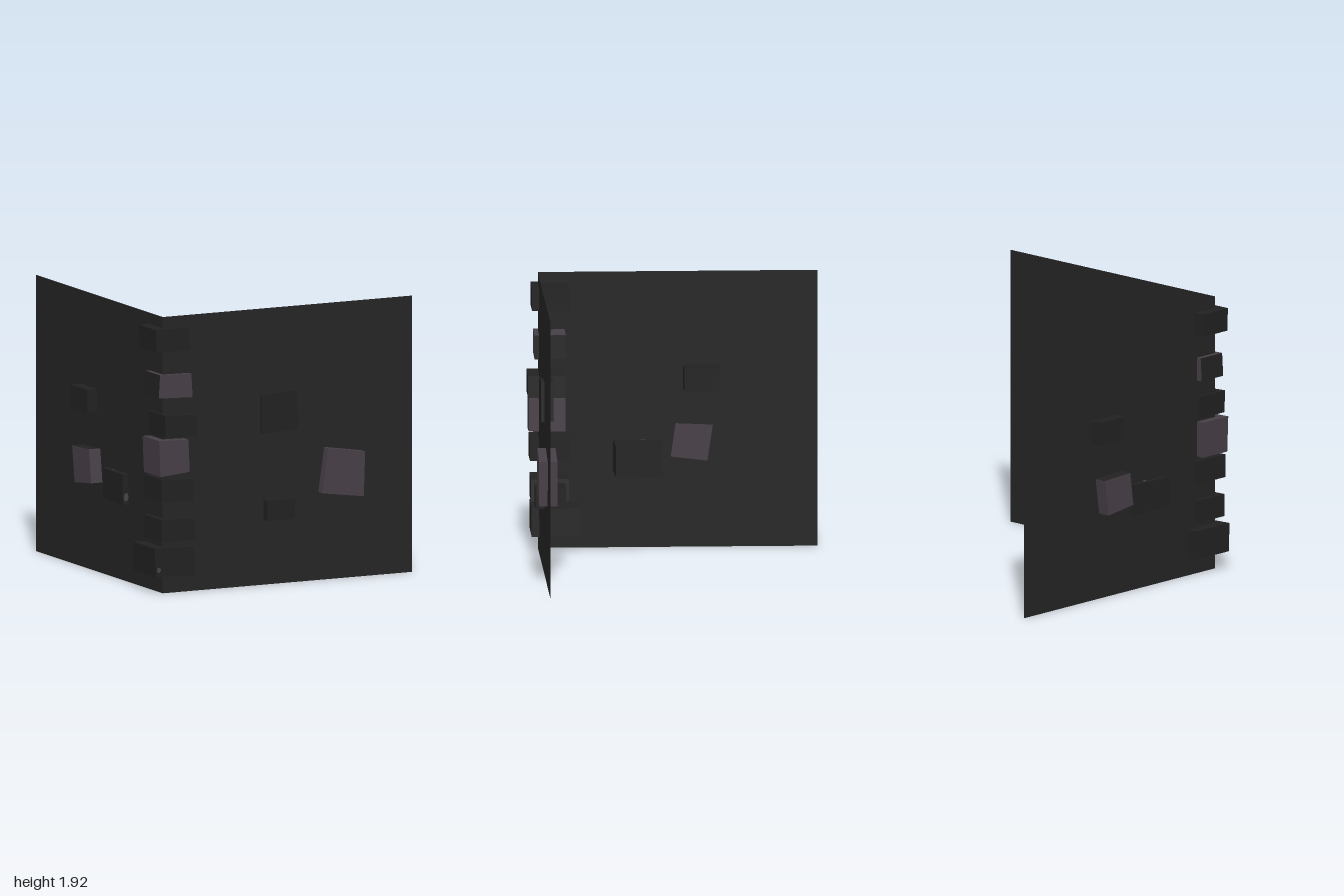
import * as THREE from 'three';

const mat = (name, color, side = THREE.FrontSide) => {
  const m = new THREE.MeshStandardMaterial({ color, side });
  m.name = name;
  return m;
};

// Six-sided block: quad gives four corners (top-left, top-right, bottom-right, bottom-left)
// seen along +axis; lo and hi are the extents along that axis.
function block(name, axis, quad, lo, hi, material) {
  const geo = new THREE.BoxGeometry(1, 1, 1);
  const p = geo.attributes.position;
  for (let i = 0; i < p.count; i++) {
    const x = p.getX(i), y = p.getY(i), z = p.getZ(i);
    const right = axis === 'x' ? z < 0 : x > 0;
    const top = axis === 'y' ? z < 0 : y > 0;
    const [u, v] = quad[top ? (right ? 1 : 0) : (right ? 2 : 3)];
    if (axis === 'z') p.setXYZ(i, u, v, z > 0 ? hi : lo);
    else if (axis === 'x') p.setXYZ(i, x > 0 ? hi : lo, v, u);
    else p.setXYZ(i, u, y > 0 ? hi : lo, v);
  }
  geo.computeVertexNormals();
  const mesh = new THREE.Mesh(geo, material);
  mesh.name = name;
  return mesh;
}

export function createModel() {
  const model = new THREE.Group();
  model.name = 'brickCorner';
  const plaster = mat('wallCharcoal', 0x242424, THREE.DoubleSide);
  const stone = mat('brickCharcoal', 0x212121);
  const mauve = mat('brickMauve', 0x463e46);
  const grey = mat('fleckGrey', 0x444444);

  // Two thin walls meeting at the corner
  const wallShape = new THREE.PlaneGeometry(1.915, 1.918);
  const frontWall = new THREE.Mesh(wallShape, plaster);
  frontWall.name = 'frontWall';
  frontWall.position.set(0.043, 0.959, 0.918);
  const sideWall = new THREE.Mesh(wallShape, plaster);
  sideWall.name = 'sideWall';
  sideWall.rotation.y = -Math.PI / 2;
  sideWall.position.set(-0.914, 0.959, -0.04);
  model.add(frontWall, sideWall);

  // Quoin bricks stacked up the corner
  const mixed = [stone, stone, mauve, mauve, mauve, mauve];
  const quoins = [
    [[[-0.99, 1.84], [-0.73, 1.84], [-0.73, 1.68], [-0.985, 1.68]], 0.71, 0.965, stone],
    [[[-0.95, 1.52], [-0.71, 1.515], [-0.70, 1.35], [-0.96, 1.36]], 0.735, 0.95, mixed],
    [[[-0.935, 1.245], [-0.69, 1.235], [-0.68, 1.085], [-0.93, 1.09]], 0.74, 0.995, stone],
    [[[-0.975, 1.07], [-0.75, 1.065], [-0.74, 0.84], [-0.965, 0.82]], 0.735, 0.985, mauve],
    [[[-0.955, 0.80], [-0.71, 0.79], [-0.71, 0.64], [-0.955, 0.64]], 0.71, 0.98, stone],
    [[[-0.95, 0.52], [-0.705, 0.515], [-0.69, 0.365], [-0.95, 0.365]], 0.715, 0.975, stone],
    [[[-1.0, 0.325], [-0.70, 0.315], [-0.69, 0.115], [-0.995, 0.125]], 0.64, 0.97, stone],
  ];
  quoins.forEach(([q, lo, hi, m], i) => model.add(block(`cornerBrick${i + 1}`, 'z', q, lo, hi, m)));

  // Bricks set into the front wall
  model.add(
    block('frontTallBrick', 'z', [[-0.165, 1.32], [0.10, 1.34], [0.115, 1.065], [-0.165, 1.05]], 0.855, 0.942, stone),
    block('frontSmallBrick', 'z', [[-0.14, 0.59], [0.07, 0.59], [0.07, 0.45], [-0.14, 0.45]], 0.765, 0.977, stone),
    block('frontMauveBrick', 'z', [[0.325, 0.92], [0.61, 0.875], [0.60, 0.565], [0.28, 0.61]], 0.852, 0.977, mauve));

  // Bricks set into the side wall
  model.add(
    block('sideUpperBrick', 'y', [[-0.995, -0.32], [-0.745, -0.32], [-0.735, -0.08], [-0.985, -0.075]], 1.105, 1.265, stone),
    block('sideLargeBrick', 'y', [[-0.945, 0.08], [-0.632, 0.075], [-0.653, 0.395], [-0.963, 0.405]], 0.535, 0.748, stone),
    block('sideMauveBrick', 'x', [[-0.025, 0.862], [-0.28, 0.85], [-0.243, 0.6], [0.008, 0.63]], -1.0, -0.90,
      [mauve, mauve, stone, mauve, mauve, mauve]));

  // Small pale flecks on brick faces
  const fleck = (x, y, z, rx, ry, flat) => {
    const m = new THREE.Mesh(new THREE.CircleGeometry(1, 10), grey);
    m.name = 'fleck';
    m.scale.set(rx, ry, 1);
    m.position.set(x, y, z);
    if (flat) m.rotation.x = -Math.PI / 2;
    model.add(m);
  };
  fleck(-0.915, 0.751, 0.20, 0.022, 0.018, true);
  fleck(-0.935, 0.59, 0.408, 0.018, 0.03, false);
  fleck(-0.97, 0.172, 0.973, 0.015, 0.018, false);

  return model;
}
